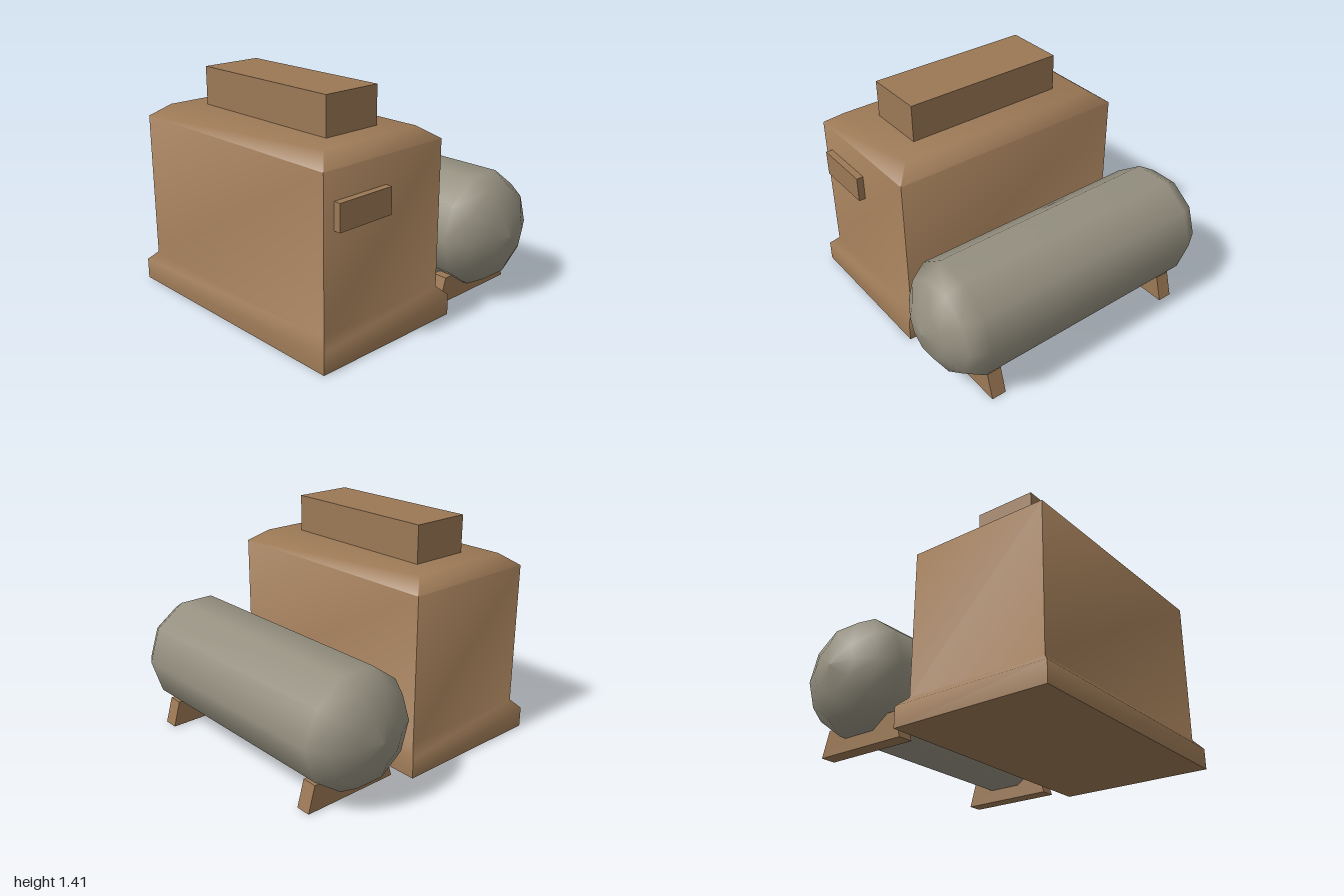
import * as THREE from 'three';
import { toCreasedNormals } from 'three/addons/utils/BufferGeometryUtils.js';

const brown = new THREE.MeshStandardMaterial({ color: 0x9b7855 });
brown.name = 'brown casing';
const grey = new THREE.MeshStandardMaterial({ color: 0x959080 });
grey.name = 'grey tank';

function add(group, name, geometry, material) {
  const mesh = new THREE.Mesh(geometry, material);
  mesh.name = name;
  group.add(mesh);
  return mesh;
}

// Box given by its lower and upper corners
function boxBetween([x0, y0, z0], [x1, y1, z1]) {
  return new THREE.BoxGeometry(x1 - x0, y1 - y0, z1 - z0)
    .translate((x0 + x1) / 2, (y0 + y1) / 2, (z0 + z1) / 2);
}

// Stack of rectangles [y, x0, x1, z0, z1] joined from bottom to top
function rectLoft(levels) {
  const positions = [];
  const indices = [];
  for (const [y, x0, x1, z0, z1] of levels) {
    positions.push(x0, y, z1, x1, y, z1, x1, y, z0, x0, y, z0);
  }
  for (let k = 0; k < levels.length - 1; k++) {
    for (let i = 0; i < 4; i++) {
      const a = k * 4 + i;
      const b = k * 4 + (i + 1) % 4;
      indices.push(a, b, b + 4, a, b + 4, a + 4);
    }
  }
  const t = (levels.length - 1) * 4;
  indices.push(t, t + 1, t + 2, t, t + 2, t + 3); // top cap
  indices.push(0, 2, 1, 0, 3, 2); // bottom cap
  const geometry = new THREE.BufferGeometry();
  geometry.setAttribute('position', new THREE.Float32BufferAttribute(positions, 3));
  geometry.setIndex(indices);
  return toCreasedNormals(geometry, 1.0);
}

export function createModel() {
  const model = new THREE.Group();
  model.name = 'machineWithTank';

  // Casing: flared base, straight walls, bevelled top
  add(model, 'casing', rectLoft([
    [0, -0.845, 0.85, -0.13, 0.885],
    [0.13, -0.845, 0.85, -0.13, 0.885],
    [0.185, -0.79, 0.797, -0.075, 0.835],
    [1.1, -0.79, 0.797, -0.075, 0.835],
    [1.175, -0.69, 0.695, 0.03, 0.735],
  ]), brown);

  // Raised box on top and small panel on the side
  add(model, 'topBox', boxBetween([-0.53, 1.15, 0.185], [0.54, 1.412, 0.575]), brown);
  add(model, 'sidePanel', boxBetween([0.78, 0.77, 0.375], [0.84, 0.932, 0.76]), brown);

  // Ten-sided tank with domed ends, lying along x
  const dome = [[0, 1], [0.162, 0.97], [0.298, 0.89], [0.367, 0.777]];
  const profile = [
    ...dome.map(([r, x]) => new THREE.Vector2(r, -x)),
    ...dome.reverse().map(([r, x]) => new THREE.Vector2(r, x)),
  ];
  const tank = add(model, 'tank', new THREE.LatheGeometry(profile, 10).rotateZ(-Math.PI / 2), grey);
  tank.position.set(0, 0.433, -0.523);

  // Tapered feet that cradle the tank
  for (const [name, x] of [['leftFoot', 0.69], ['rightFoot', -0.685]]) {
    const w = 0.048;
    add(model, name, rectLoft([
      [0, x - w, x + w, -0.83, -0.195],
      [0.163, x - w, x + w, -0.783, -0.243],
    ]), brown);
  }
  return model;
}
